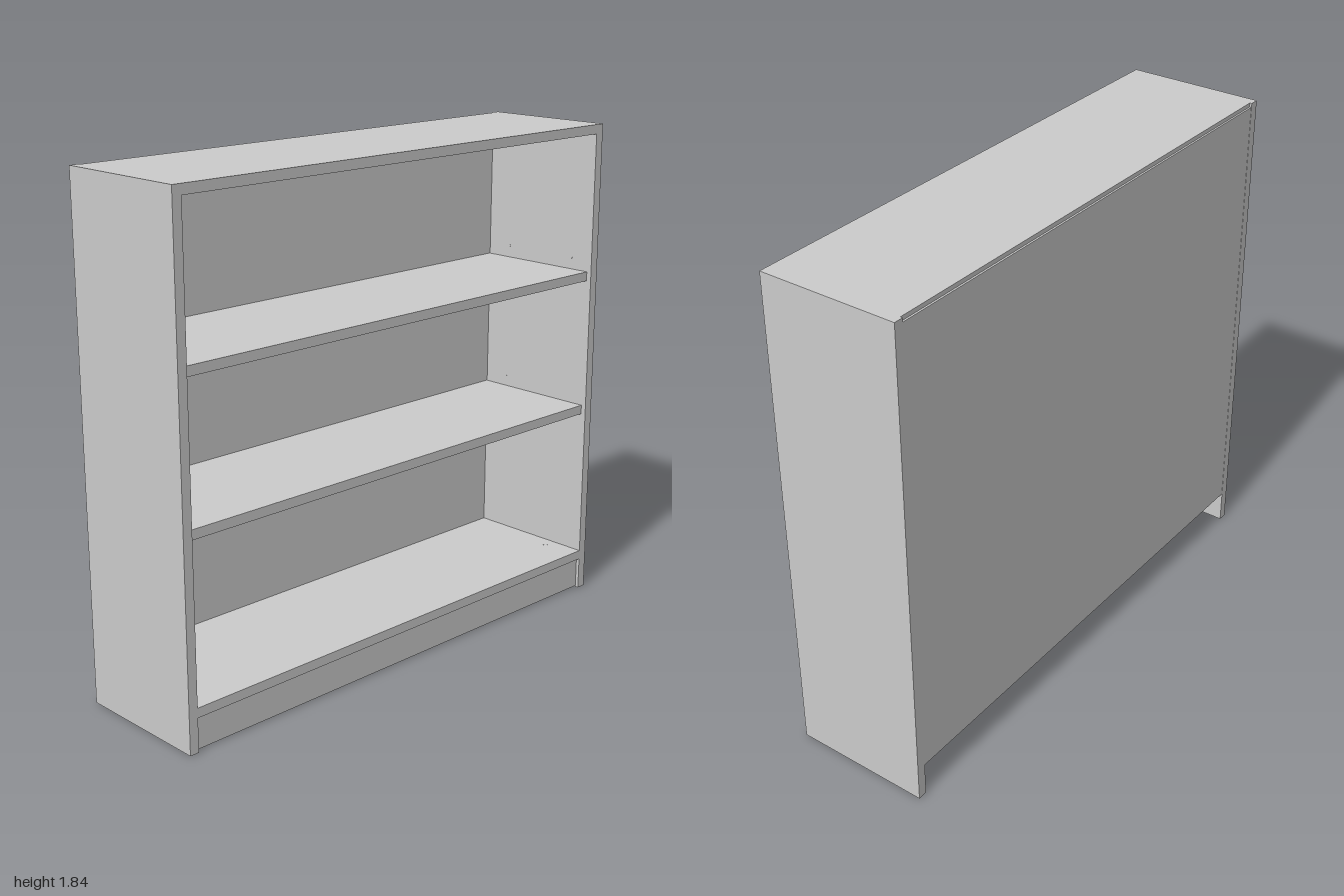
import * as THREE from 'three';

const mat = new THREE.MeshStandardMaterial({ color: 0xcccccc });

// Overall sizes
const H = 1.84, ZF = 0.258, ZB = -0.258, T = 0.035, IN = 0.965, BACK = -0.25;

// Box given by its lower and upper limits on each axis
function board(parent, name, [x0, x1], [y0, y1], [z0, z1]) {
  const mesh = new THREE.Mesh(new THREE.BoxGeometry(x1 - x0, y1 - y0, z1 - z0), mat);
  mesh.name = name;
  mesh.position.set((x0 + x1) / 2, (y0 + y1) / 2, (z0 + z1) / 2);
  parent.add(mesh);
  return mesh;
}

// Small round cap or pin, its axis along x, y or z
function disc(parent, name, r, h, pos, axis = 'y') {
  const mesh = new THREE.Mesh(new THREE.CylinderGeometry(r, r, h, 12), mat);
  mesh.name = name;
  mesh.position.set(...pos);
  if (axis === 'x') mesh.rotation.z = Math.PI / 2;
  if (axis === 'z') mesh.rotation.x = Math.PI / 2;
  parent.add(mesh);
}

// Angle bracket with leaves along its own +x and +y, two screws in each
function bracket(parent, pos, rot) {
  const g = new THREE.Group();
  g.name = 'angleBracket';
  const len = 0.06, w = 0.012, t = 0.004;
  board(g, 'bracketLeaf', [0, len], [0, t], [-w, w]);
  board(g, 'bracketLeaf', [0, t], [t, len], [-w, w]);
  for (const d of [0.022, 0.046]) {
    disc(g, 'screwHead', 0.007, 0.006, [d, t + 0.002, 0], 'y');
    disc(g, 'screwHead', 0.007, 0.006, [t + 0.002, d, 0], 'x');
  }
  g.position.set(...pos);
  g.rotation.set(...rot);
  parent.add(g);
}

export function createModel() {
  const model = new THREE.Group();
  model.name = 'bookcase';

  // Carcass
  board(model, 'leftSide', [IN, 1], [0, H], [ZB, ZF]);
  board(model, 'rightSide', [-1, -IN], [0, H], [ZB, ZF]);
  board(model, 'topPanel', [-IN, IN], [H - T, H], [BACK, ZF]);
  board(model, 'bottomShelf', [-IN, IN], [0.123, 0.158], [BACK, ZF]);
  board(model, 'kickBoard', [-IN, IN], [0.004, 0.123], [0.21, 0.245]);
  board(model, 'backPanel', [-IN, IN], [0.127, H - 0.015], [ZB + 0.001, BACK]);

  // Adjustable shelves, with support pins and spare peg holes in the sides
  for (const y of [0.723, 1.25]) {
    board(model, 'shelf', [-IN + 0.002, IN - 0.002], [y, y + T], [BACK, 0.24]);
    for (const s of [-1, 1]) {
      for (const z of [-0.15, 0.16]) {
        disc(model, 'shelfPin', 0.007, 0.03, [s * (IN - 0.015), y - 0.007, z], 'x');
        for (const dy of [-0.08, 0.08])
          disc(model, 'pegHole', 0.006, 0.002, [s * IN, y + dy, z], 'x');
      }
    }
  }

  // Fittings around the base
  const P = Math.PI;
  for (const s of [-1, 1]) {
    disc(model, 'fixingCap', 0.011, 0.002, [s * 0.92, 0.158, 0.12]);
    for (const z of [-0.19, 0.17])
      bracket(model, [s * IN, 0.123, z], [0, 0, s > 0 ? P : -P / 2]);
    bracket(model, [s * IN, 0.04, 0.21], [-P / 2, 0, s > 0 ? P / 2 : 0]);
  }
  bracket(model, [0, 0.123, 0.21], [P, -P / 2, 0]);

  return model;
}
